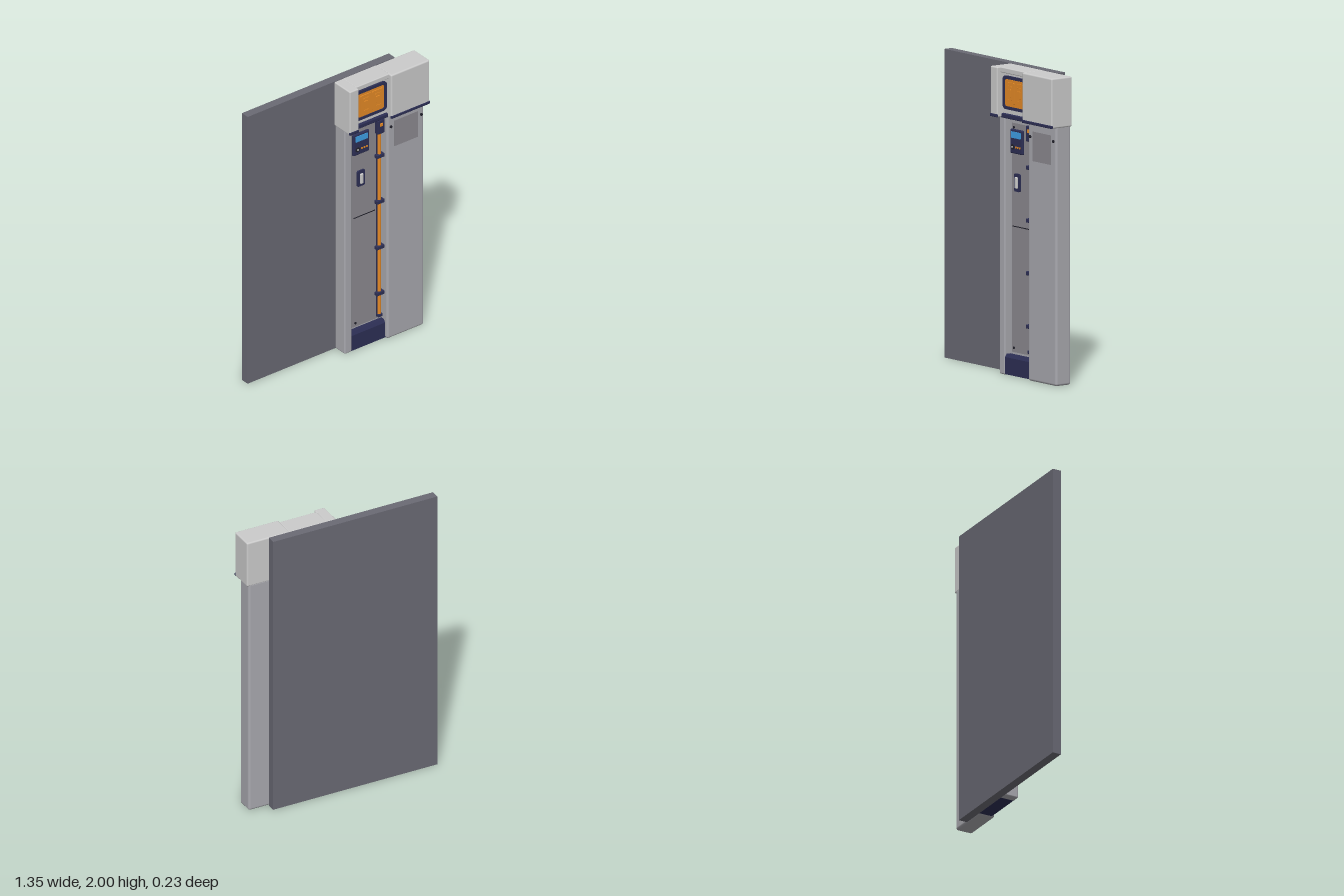
import * as THREE from 'three';
import { RoundedBoxGeometry } from 'three/addons/geometries/RoundedBoxGeometry.js';

const mat = (color) => new THREE.MeshStandardMaterial({ color });

export function createModel() {
  const root = new THREE.Group();
  const grey = mat(0xcccccc), column = mat(0xa9a9af), wallGrey = mat(0x6a6a74);
  const doorGrey = mat(0x8c8a90), navy = mat(0x2d2f55), orange = mat(0xe58a26);
  const blue = mat(0x3fa0e6), dark = mat(0x22222c);

  const add = (name, geometry, material) => {
    const mesh = new THREE.Mesh(geometry, material);
    mesh.name = name;
    root.add(mesh);
    return mesh;
  };
  // Box given by its extents; r > 0 rounds the edges
  const block = (name, material, x0, x1, y0, y1, z0, z1, r = 0) => {
    const size = [x1 - x0, y1 - y0, z1 - z0];
    const g = r ? new RoundedBoxGeometry(...size, 3, r) : new THREE.BoxGeometry(...size);
    g.translate((x0 + x1) / 2, (y0 + y1) / 2, (z0 + z1) / 2);
    return add(name, g, material);
  };
  const roundedPath = (path, x0, x1, y0, y1, r) => {
    path.moveTo(x0 + r, y0);
    path.lineTo(x1 - r, y0).absarc(x1 - r, y0 + r, r, -Math.PI / 2, 0);
    path.lineTo(x1, y1 - r).absarc(x1 - r, y1 - r, r, 0, Math.PI / 2);
    path.lineTo(x0 + r, y1).absarc(x0 + r, y1 - r, r, Math.PI / 2, Math.PI);
    path.lineTo(x0, y0 + r).absarc(x0 + r, y0 + r, r, Math.PI, Math.PI * 1.5);
    return path;
  };
  // Plate with rounded corners in the front plane, optionally a frame of width w
  const plate = (name, material, x0, x1, y0, y1, z0, z1, r, w = 0) => {
    const shape = roundedPath(new THREE.Shape(), x0, x1, y0, y1, r);
    if (w) shape.holes.push(roundedPath(new THREE.Path(), x0 + w, x1 - w, y0 + w, y1 - w, Math.max(r - w, 0.002)));
    const g = new THREE.ExtrudeGeometry(shape, { depth: z1 - z0, bevelEnabled: false, curveSegments: 6 });
    g.translate(0, 0, z0);
    return add(name, g, material);
  };
  const disc = (name, material, x, y, z0, z1, r) => {
    const g = new THREE.CylinderGeometry(r, r, z1 - z0, 20).rotateX(Math.PI / 2);
    g.translate(x, y, (z0 + z1) / 2);
    return add(name, g, material);
  };

  // Wall behind the cabinet
  block('wall', wallGrey, -0.675, 0.515, 0, 2, -0.115, -0.055);

  // Columns and the recess between them
  block('leftColumn', column, 0.033, 0.092, 0, 1.69, -0.055, 0.045, 0.01);
  block('rightColumn', column, 0.363, 0.66, 0, 1.69, -0.055, 0.065, 0.016);
  block('recessBack', column, 0.08, 0.37, 0.02, 1.7, -0.055, 0);

  // Head blocks
  block('leftHead', grey, 0.025, 0.098, 1.675, 2, -0.055, 0.11, 0.008);
  block('rightHead', grey, 0.36, 0.672, 1.675, 2, -0.055, 0.11, 0.01);
  block('centreHead', grey, 0.093, 0.365, 1.69, 1.975, -0.055, 0.058);
  block('centreHeadTop', grey, 0.093, 0.365, 1.965, 2, -0.055, 0.085, 0.006);

  // Dark trim under the head
  block('leftTrim', navy, 0.023, 0.098, 1.675, 1.695, 0.1, 0.114, 0.004);
  block('centreTrim', navy, 0.09, 0.363, 1.67, 1.7, 0.02, 0.075, 0.006);
  block('rightTrim', navy, 0.36, 0.673, 1.675, 1.695, 0.1, 0.114, 0.004);

  // Orange double switch
  plate('switchBacking', navy, 0.103, 0.356, 1.73, 1.947, 0.055, 0.064, 0.03);
  plate('switchFrame', navy, 0.103, 0.356, 1.73, 1.947, 0.064, 0.072, 0.03, 0.02);
  plate('switchPanel', orange, 0.125, 0.334, 1.75, 1.925, 0.06, 0.068, 0.015);
  for (const x of [0.184, 0.28]) {
    plate('switchPlate', orange, x - 0.043, x + 0.043, 1.768, 1.908, 0.066, 0.074, 0.008);
    plate('switchRim', orange, x - 0.024, x + 0.024, 1.79, 1.886, 0.073, 0.077, 0.008, 0.006);
    plate('switchKey', orange, x - 0.015, x + 0.015, 1.812, 1.864, 0.073, 0.08, 0.005);
  }

  // Base with a sloping upper lip
  const base = new THREE.Shape([
    [-0.055, 0.004], [0.042, 0.004], [0.042, 0.115], [0.03, 0.135], [-0.055, 0.135],
  ].map((p) => new THREE.Vector2(...p)));
  const baseGeo = new THREE.ExtrudeGeometry(base, { depth: 0.274, bevelEnabled: false });
  baseGeo.rotateY(-Math.PI / 2).translate(0.364, 0, 0);
  add('base', baseGeo, navy);

  // Door with seam and screws
  plate('door', doorGrey, 0.12, 0.335, 0.15, 1.635, -0.005, 0.01, 0.006);
  block('doorSeam', dark, 0.133, 0.303, 0.963, 0.969, 0.009, 0.012);
  for (const y of [0.178, 1.607]) disc('doorScrew', dark, 0.145, y, 0.008, 0.015, 0.008);

  // Control unit
  block('controlBox', navy, 0.12, 0.25, 1.44, 1.597, 0, 0.026, 0.008);
  plate('screen', blue, 0.135, 0.236, 1.541, 1.583, 0.024, 0.029, 0.004);
  disc('dialRing', dark, 0.152, 1.483, 0.024, 0.03, 0.017);
  disc('dial', grey, 0.152, 1.483, 0.03, 0.034, 0.006);
  for (const x of [0.187, 0.207, 0.227]) disc('indicator', orange, x, 1.483, 0.024, 0.03, 0.007);

  // Door latch
  plate('latchFrame', navy, 0.156, 0.217, 1.195, 1.312, 0.008, 0.02, 0.012);
  block('latchHandle', grey, 0.175, 0.198, 1.216, 1.29, 0.014, 0.032, 0.006);

  // Vertical cable with its connector and clips
  const cable = new THREE.CylinderGeometry(0.012, 0.012, 1.39, 16).translate(0.333, 0.865, 0.018);
  add('cable', cable, orange);
  block('cableTray', navy, 0.313, 0.353, 0.165, 1.56, 0, 0.012);
  block('connector', navy, 0.306, 0.362, 1.54, 1.643, 0, 0.04, 0.006);
  block('connectorButton', orange, 0.322, 0.346, 1.597, 1.62, 0.036, 0.045, 0.003);
  for (const y of [0.34, 0.685, 1.027, 1.37])
    block('cableClip', navy, 0.302, 0.364, y - 0.013, y + 0.013, 0, 0.036, 0.004);
  block('cableFoot', navy, 0.315, 0.351, 0.165, 0.185, 0, 0.034, 0.003);

  // Cover plate and bolts on the right column
  block('coverPlate', doorGrey, 0.417, 0.608, 1.43, 1.622, 0.06, 0.07);
  for (const x of [0.39, 0.635]) disc('columnBolt', dark, x, 1.586, 0.06, 0.074, 0.009);

  return root;
}
